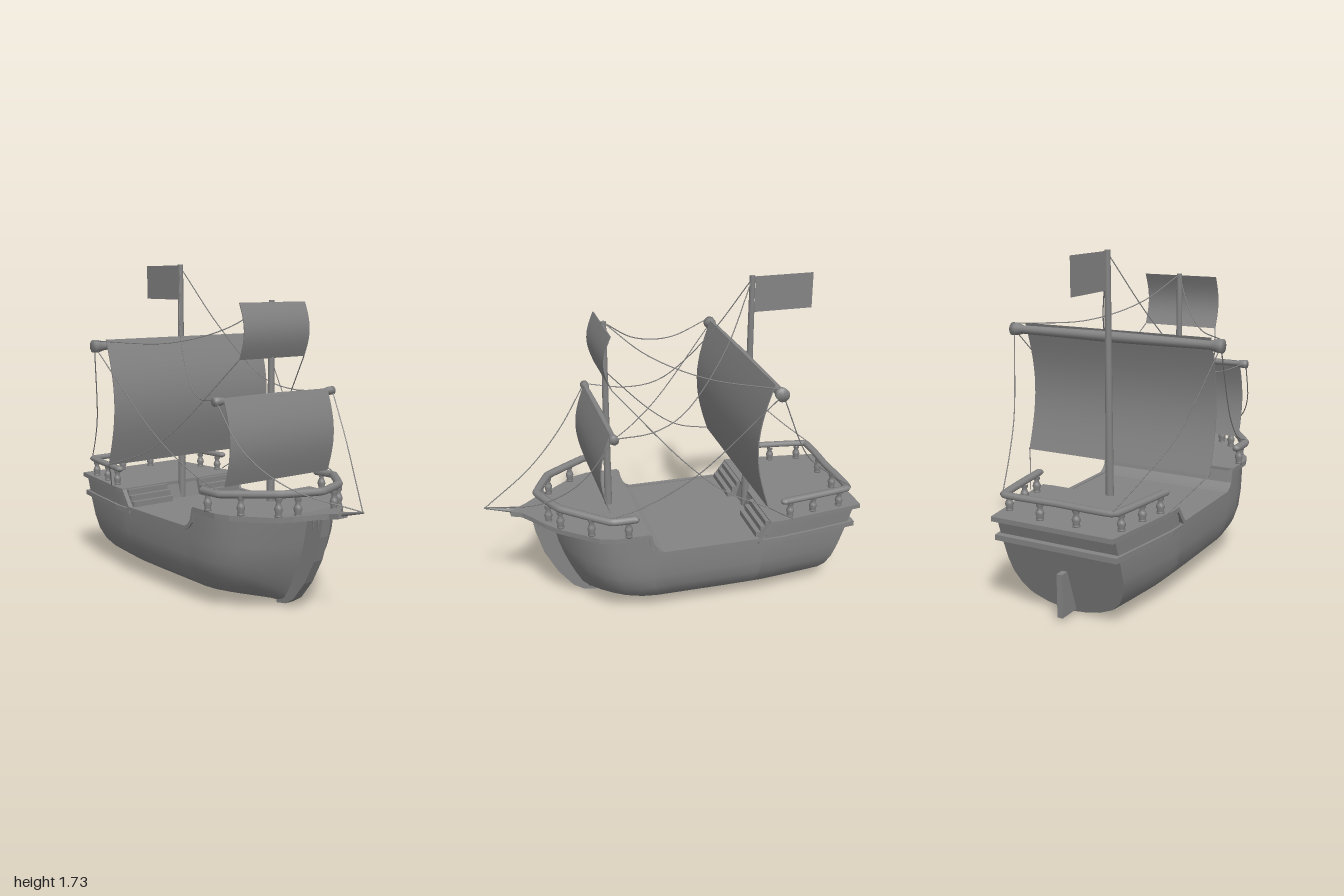
import * as THREE from 'three';

const mat = new THREE.MeshStandardMaterial({ color: 0x838383 });
const thin = new THREE.MeshStandardMaterial({ color: 0x838383, side: THREE.DoubleSide });
const V = (x, y, z) => new THREE.Vector3(x, y, z);
const both = (fn) => [1, -1].forEach(fn);

export function createModel() {
  const ship = new THREE.Group();
  ship.name = 'sailingShip';

  const add = (name, geo, m = mat) => {
    const mesh = new THREE.Mesh(geo, m);
    mesh.name = name;
    ship.add(mesh);
    return mesh;
  };
  // Box running from a to b
  const beam = (name, a, b, w, h) => {
    const mesh = add(name, new THREE.BoxGeometry(w, h, a.distanceTo(b) + w * 0.4));
    mesh.position.copy(a).lerp(b, 0.5);
    mesh.lookAt(b);
  };
  // Round pole running from a to b
  const pole = (name, a, b, ra, rb) => {
    const mesh = add(name, new THREE.CylinderGeometry(rb, ra, a.distanceTo(b), 12));
    mesh.position.copy(a).lerp(b, 0.5);
    mesh.quaternion.setFromUnitVectors(V(0, 1, 0), b.clone().sub(a).normalize());
  };
  // Horizontal plate from the +x half of an outline given as [x, z]
  const plate = (name, half, y, h) => {
    const pts = [...half, ...half.slice().reverse().map(([x, z]) => [-x, z])];
    const shape = new THREE.Shape(pts.map(([x, z]) => new THREE.Vector2(x, -z)));
    const geo = new THREE.ExtrudeGeometry(shape, { depth: h, bevelEnabled: false });
    return add(name, geo.rotateX(-Math.PI / 2).translate(0, y, 0));
  };
  // Upright plate on the centreline from an outline given as [z, y]
  const fin = (name, pts, w) => {
    const shape = new THREE.Shape(pts.map(([z, y]) => new THREE.Vector2(-z, y)));
    const geo = new THREE.ExtrudeGeometry(shape, { depth: w, bevelEnabled: false });
    add(name, geo.translate(0, 0, -w / 2).rotateY(Math.PI / 2));
  };

  // Hull stations: z, half width, height of the deck edge
  const stations = [
    [-0.965, 0.325, 0.48], [-0.75, 0.357, 0.48], [-0.53, 0.385, 0.48], [-0.458, 0.387, 0.48],
    [-0.45, 0.387, 0.4], [-0.25, 0.39, 0.4], [-0.05, 0.39, 0.4], [0.13, 0.39, 0.4],
    [0.16, 0.39, 0.41], [0.185, 0.39, 0.44], [0.2, 0.39, 0.5], [0.3, 0.388, 0.5],
    [0.4, 0.372, 0.5], [0.48, 0.325, 0.5], [0.55, 0.25, 0.5], [0.61, 0.15, 0.5], [0.655, 0.025, 0.5],
  ];
  // Cross-section below the deck edge: share of half width, height
  const section = [[1, 0.34], [0.99, 0.255], [0.95, 0.18], [0.85, 0.115], [0.7, 0.065], [0.46, 0.03], [0.22, 0.012]];
  const sternZ = (y) => -0.8 - 0.165 * (y / 0.48);
  const bowZ = (y) => 0.655 - 0.185 * Math.pow(Math.max(0, 1 - y / 0.5), 1.5);
  const rings = stations.map(([zn, w, top]) => {
    const u = (zn + 0.965) / 1.62;
    const bow = THREE.MathUtils.smoothstep(zn, 0.2, 0.65);
    const at = (f, y, s) => V(s * w * Math.pow(f, 1 + bow * 0.8), y, THREE.MathUtils.lerp(sternZ(y), bowZ(y), u));
    const half = (s) => [[1, top], ...section].map(([f, y]) => at(f, y, s));
    return [...half(1), at(0, 0.004, 1), ...half(-1).reverse()];
  });
  const n = rings[0].length;
  const skin = [];
  for (let i = 0; i < rings.length - 1; i++) {
    for (let j = 0; j < n - 1; j++) {
      const a = i * n + j, b = a + n;
      skin.push(a, b, a + 1, a + 1, b, b + 1);
    }
  }
  const hull = new THREE.BufferGeometry().setFromPoints(rings.flat()).setIndex(skin);
  hull.computeVertexNormals();
  add('hull', hull, thin);

  // Decks follow the hull edge, transom closes the stern
  const lid = [];
  for (let i = 0; i < rings.length - 1; i++) {
    const [a, b] = [rings[i][0], rings[i][n - 1]], [c, d] = [rings[i + 1][0], rings[i + 1][n - 1]];
    lid.push(a, b, c, c, b, d);
  }
  const deck = new THREE.BufferGeometry().setFromPoints(lid);
  deck.computeVertexNormals();
  add('deck', deck, thin);
  const fan = [];
  for (let j = 0; j < n - 1; j++) fan.push(V(0, 0.48, sternZ(0.48)), rings[0][j], rings[0][j + 1]);
  const transom = new THREE.BufferGeometry().setFromPoints(fan);
  transom.computeVertexNormals();
  add('transom', transom, thin);

  // Stem and rudder
  fin('stem', [[0.5, 0.5], [0.755, 0.5], [0.74, 0.41], [0.7, 0.28], [0.63, 0.15], [0.55, 0.05], [0.49, 0.012], [0.42, 0]], 0.056);
  fin('rudder', [[-0.79, 0.02], [-0.93, 0.02], [-0.93, 0.24], [-0.87, 0.24]], 0.03);

  // Foredeck with a rising beak, and the aft deck with its ledge
  plate('foredeck', [[0.398, 0.2], [0.398, 0.38], [0.37, 0.46], [0.22, 0.64]], 0.49, 0.027);
  const beak = plate('beak', [[0.22, 0.64], [0.165, 0.7], [0.08, 0.77], [0.038, 0.81], [0.03, 0.865]], 0.49, 0.027);
  const bp = beak.geometry.attributes.position;
  for (let i = 0; i < bp.count; i++) bp.setY(i, bp.getY(i) + (bp.getZ(i) - 0.64) * 0.16);
  beak.geometry.computeVertexNormals();
  pole('bowsprit', V(0, 0.542, 0.845), V(0, 0.58, 1), 0.011, 0.005);
  plate('aftDeck', [[0.398, -0.458], [0.398, -0.53], [0.333, -1]], 0.472, 0.024);
  plate('aftLedge', [[0.398, -0.45], [0.398, -0.53], [0.335, -0.97]], 0.368, 0.027);

  both((s) => {
    // Trim along the deck edge
    const trim = [[0.503, 0.25], [0.503, 0.2], [0.44, 0.185], [0.41, 0.16], [0.395, 0.13], [0.395, -0.4], [0.484, -0.465]];
    for (let i = 0; i < trim.length - 1; i++) {
      beam('edgeTrim', V(s * 0.387, ...trim[i]), V(s * 0.387, ...trim[i + 1]), 0.024, 0.02);
    }
    beam('ledgeFront', V(s * 0.387, 0.382, -0.4), V(s * 0.387, 0.382, -0.47), 0.024, 0.026);
    // Stairs to the aft deck
    for (let k = 0; k < 3; k++) {
      const h = 0.03 * (k + 1);
      const step = add('stair', new THREE.BoxGeometry(0.26, h, 0.03));
      step.position.set(s * 0.24, 0.4 + h / 2, -0.4 - k * 0.026);
    }
    // Pendants under the beak
    [0.69, 0.725].forEach((z) => pole('pendant', V(s * 0.022, 0.43, z), V(s * 0.022, 0.5, z), 0.006, 0.012));
  });

  // Railings with turned balusters
  const profile = [[0, 0], [0.019, 0], [0.019, 0.01], [0.015, 0.015], [0.022, 0.04], [0.018, 0.055], [0.011, 0.07], [0.018, 0.085], [0.018, 0.1]];
  const railing = (name, path, posts, y, h, r, squash) => {
    const pts = [...path, ...path.slice(0, -1).reverse().map((p) => V(-p.x, p.y, p.z))];
    const curve = new THREE.CatmullRomCurve3(pts.map((p) => V(p.x, p.y / squash, p.z)), false, 'catmullrom', 0.12);
    add(name, new THREE.TubeGeometry(curve, 90, r, 8).scale(1, squash, 1));
    both((s) => {
      const end = new THREE.SphereGeometry(r, 10, 6).scale(1, squash, 1);
      add(name + 'End', end).position.set(s * path[0].x, path[0].y, path[0].z);
      posts.forEach(([x, z]) => {
        const geo = new THREE.LatheGeometry(profile.map(([a, b]) => new THREE.Vector2(a, b * h * 10)), 10);
        add('baluster', geo).position.set(s * x, y, z);
      });
    });
  };
  railing('foreRail', [V(0.385, 0.612, 0.275), V(0.385, 0.615, 0.4), V(0.2, 0.628, 0.63), V(0, 0.632, 0.72)],
    [[0.385, 0.31], [0.32, 0.49], [0.2, 0.63], [0.12, 0.68]], 0.515, 0.1, 0.023, 0.85);
  railing('aftRail', [V(0.362, 0.59, -0.545), V(0.302, 0.59, -0.93), V(0, 0.59, -0.93)],
    [[0.355, -0.58], [0.332, -0.72], [0.31, -0.88], [0.1, -0.93]], 0.494, 0.085, 0.023, 0.7);

  // Masts and flag
  pole('foreMast', V(0, 0.5, 0.335), V(0, 1.545, 0.335), 0.021, 0.014);
  pole('mainMast', V(0, 0.4, -0.45), V(0, 1.725, -0.45), 0.021, 0.015);
  add('flag', new THREE.PlaneGeometry(0.32, 0.19).rotateY(Math.PI / 2), thin).position.set(0, 1.625, -0.627);

  // Yards flare at their ends
  const yard = (name, half, y, z, r, rEnd) => {
    const pts = [[0, -half], [rEnd, -half], [rEnd * 0.95, 0.03 - half], [r * 0.8, 0.07 - half], [r, 0]];
    const all = [...pts, ...pts.slice(0, -1).reverse().map(([a, b]) => [a, -b])];
    const geo = new THREE.LatheGeometry(all.map((p) => new THREE.Vector2(...p)), 14);
    add(name, geo.rotateZ(Math.PI / 2)).position.set(0, y, z);
  };
  yard('mainYard', 0.595, 1.297, -0.41, 0.027, 0.034);
  yard('foreYard', 0.395, 1.065, 0.375, 0.018, 0.023);

  // Sails billow forward between their top and bottom edges
  const sail = (name, half, y0, y1, z0, z1, bulge) => {
    const geo = new THREE.BoxGeometry(half * 2, 1, 0.005, 1, 14, 1);
    const p = geo.attributes.position;
    for (let i = 0; i < p.count; i++) {
      const t = p.getY(i) + 0.5;
      p.setY(i, THREE.MathUtils.lerp(y0, y1, t));
      p.setZ(i, p.getZ(i) + THREE.MathUtils.lerp(z0, z1, t) + bulge * Math.sin(Math.PI * t));
    }
    geo.computeVertexNormals();
    add(name, geo);
  };
  sail('mainSail', 0.525, 0.655, 1.33, -0.39, -0.395, 0.072);
  sail('foreSail', 0.345, 0.645, 1.08, 0.395, 0.385, 0.048);
  sail('topSail', 0.215, 1.255, 1.535, 0.345, 0.345, 0.038);

  // Rigging on both sides
  const ropes = [
    [[0, 0.58, 0.995], [0.22, 0.68, 0.72], [0.34, 0.84, 0.53], [0.385, 1.06, 0.385]],
    [[0, 1.54, 0.335], [0.14, 1.4, 0.15], [0.33, 1.32, -0.1], [0.58, 1.325, -0.4]],
    [[0, 1.71, -0.45], [0.14, 1.37, -0.26], [0.25, 1.11, -0.02], [0.32, 1.055, 0.155], [0.385, 1.07, 0.365]],
    [[0.58, 1.28, -0.4], [0.47, 0.86, -0.02], [0.41, 0.69, 0.23], [0.385, 0.63, 0.4]],
    [[0.58, 1.28, -0.42], [0.46, 0.9, -0.61], [0.38, 0.74, -0.77], [0.3, 0.6, -0.945]],
    [[0.215, 1.255, 0.345], [0.36, 0.88, 0], [0.44, 0.74, -0.18], [0.525, 0.66, -0.39]],
    [[0.525, 0.66, -0.39], [0.46, 0.58, -0.48], [0.395, 0.5, -0.58]],
  ];
  both((s) => ropes.forEach((pts) => {
    const curve = new THREE.CatmullRomCurve3(pts.map(([x, y, z]) => V(s * x, y, z)));
    add('rope', new THREE.TubeGeometry(curve, 24, 0.003, 5));
  }));

  return ship;
}
